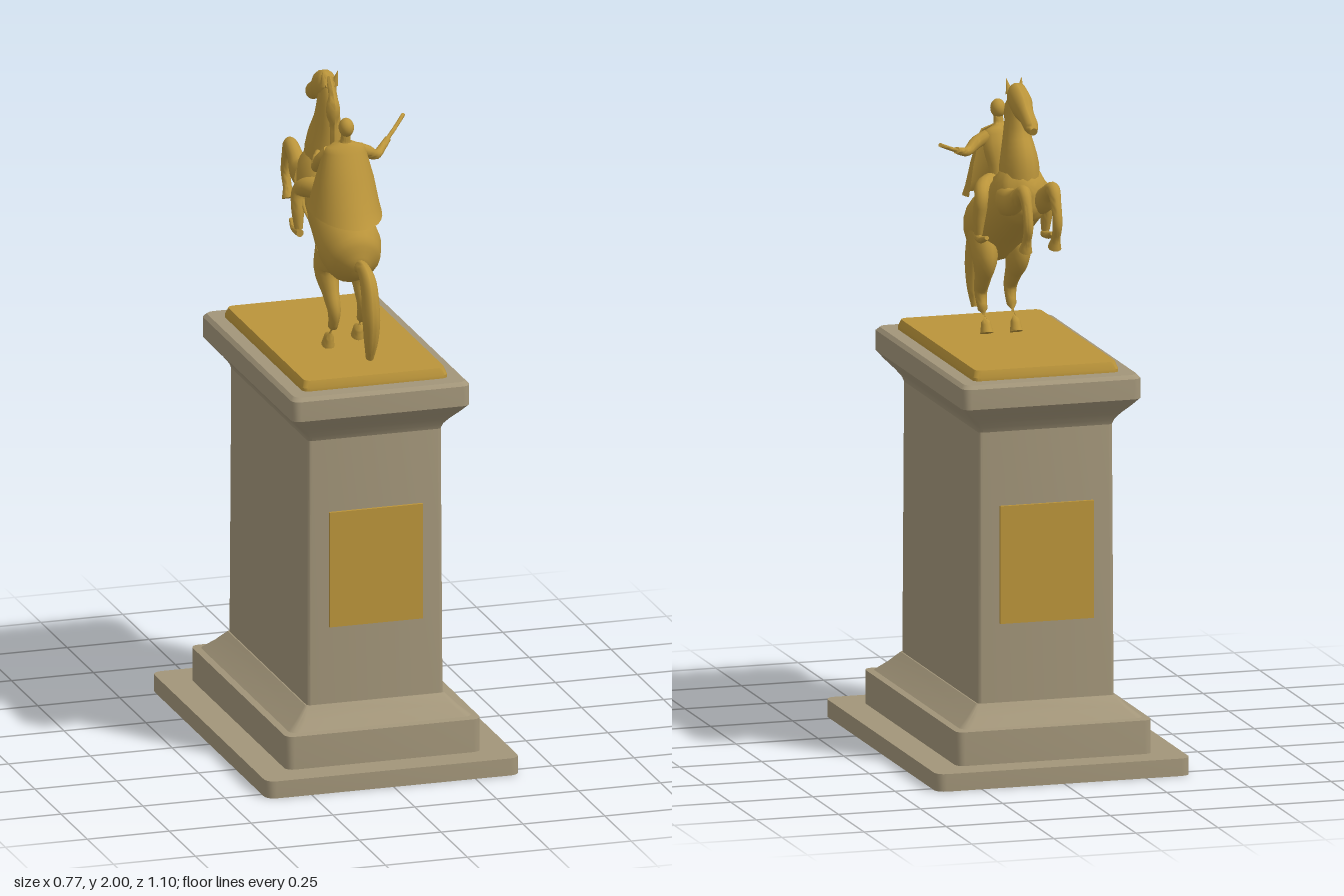
import * as THREE from 'three';
import { toCreasedNormals } from 'three/addons/utils/BufferGeometryUtils.js';

const V = (x, y, z) => new THREE.Vector3(x, y, z);

// Skin a list of closed rings (counter-clockwise about the direction of travel) and cap both ends
function loft(rings, crease) {
  const out = [], n = rings[0].length;
  const tri = (...p) => p.forEach(q => out.push(q.x, q.y, q.z));
  const centre = r => r.reduce((s, p) => s.add(p), V(0, 0, 0)).divideScalar(n);
  const first = rings[0], last = rings[rings.length - 1];
  const c0 = centre(first), c1 = centre(last);
  for (let j = 0; j < n; j++) {
    const k = (j + 1) % n;
    for (let i = 0; i < rings.length - 1; i++) {
      const a = rings[i], b = rings[i + 1];
      tri(a[j], a[k], b[j]);
      tri(a[k], b[k], b[j]);
    }
    tri(c0, first[k], first[j]);
    tri(c1, last[j], last[k]);
  }
  const g = new THREE.BufferGeometry();
  g.setAttribute('position', new THREE.Float32BufferAttribute(out, 3));
  return toCreasedNormals(g, crease);
}

// Stack of rounded rectangles: each level is [halfX, halfZ, y, cornerRadius]
function stack(levels) {
  return loft(levels.map(([hx, hz, y, r]) => {
    const ring = [];
    for (let q = 0; q < 4; q++) {
      for (let s = 0; s <= 4; s++) {
        const t = (q + s / 4) * Math.PI / 2;
        const sx = q < 2 ? 1 : -1, sz = q === 0 || q === 3 ? 1 : -1;
        ring.push(V(sx * (hx - r) + r * Math.sin(t), y, sz * (hz - r) + r * Math.cos(t)));
      }
    }
    return ring;
  }), 0.45);
}

// Elliptical limb along a smooth path: each point is [x, y, z, radiusU, radiusV]
function limb(pts, ref = V(1, 0, 0), sides = 14, perSpan = 4) {
  const curve = new THREE.CatmullRomCurve3(pts.map(p => V(p[0], p[1], p[2])));
  const radii = new THREE.CatmullRomCurve3(pts.map(p => V(p[3], p[4] ?? p[3], 0)));
  const steps = (pts.length - 1) * perSpan, rings = [];
  for (let i = 0; i <= steps; i++) {
    const c = curve.getPoint(i / steps), r = radii.getPoint(i / steps), t = curve.getTangent(i / steps);
    const u = ref.clone().addScaledVector(t, -t.dot(ref)).normalize();
    const v = t.clone().cross(u);
    rings.push(Array.from({ length: sides }, (_, j) => {
      const a = j / sides * Math.PI * 2;
      return c.clone().addScaledVector(u, r.x * Math.cos(a)).addScaledVector(v, r.y * Math.sin(a));
    }));
  }
  return loft(rings, 0.9);
}

export function createModel() {
  const stone = new THREE.MeshStandardMaterial({ color: 0xa29579 });
  stone.name = 'stone';
  const bronze = new THREE.MeshStandardMaterial({ color: 0xba943a });
  bronze.name = 'gilded bronze';
  const cloth = new THREE.MeshStandardMaterial({ color: 0xba943a, side: THREE.DoubleSide });
  cloth.name = 'gilded cloth';

  const model = new THREE.Group();
  const group = name => { const g = new THREE.Group(); g.name = name; model.add(g); return g; };
  const add = (parent, name, geo, mat = bronze) => {
    const m = new THREE.Mesh(geo, mat);
    m.name = name;
    parent.add(m);
    return m;
  };

  // Pedestal
  const pedestal = group('pedestal');
  add(pedestal, 'baseSlab', stack([[0.387, 0.55, 0, 0.03], [0.387, 0.55, 0.052, 0.03]]), stone);
  add(pedestal, 'plinth', stack([
    [0.298, 0.46, 0.052, 0.025], [0.298, 0.46, 0.152, 0.025], [0.278, 0.438, 0.155, 0.025],
    [0.245, 0.41, 0.182, 0.02], [0.212, 0.378, 0.215, 0.012]]), stone);
  add(pedestal, 'shaft', stack([[0.208, 0.375, 0.215, 0.012], [0.204, 0.371, 1.03, 0.012]]), stone);
  add(pedestal, 'cornice', stack([
    [0.204, 0.371, 1.02, 0.012], [0.21, 0.378, 1.035, 0.015], [0.226, 0.394, 1.055, 0.018],
    [0.25, 0.418, 1.08, 0.02], [0.272, 0.441, 1.105, 0.025], [0.272, 0.441, 1.165, 0.025],
    [0.262, 0.431, 1.176, 0.025]]), stone);
  add(pedestal, 'topPlate', stack([
    [0.222, 0.382, 1.176, 0.02], [0.222, 0.382, 1.185, 0.02], [0.214, 0.375, 1.206, 0.02]]));
  for (const s of [1, -1]) {
    add(pedestal, s > 0 ? 'frontPanel' : 'backPanel', new THREE.BoxGeometry(0.284, 0.35, 0.009))
      .position.set(0, 0.625, s * 0.3795);
  }

  // Rearing horse, facing -z
  const horse = group('horse');
  add(horse, 'body', limb([
    [0, 1.475, 0.218, 0.025, 0.03], [0, 1.493, 0.185, 0.075, 0.085], [0, 1.522, 0.13, 0.092, 0.105],
    [0, 1.575, 0.03, 0.086, 0.092], [0, 1.625, -0.055, 0.084, 0.092], [0, 1.67, -0.125, 0.08, 0.098],
    [0, 1.695, -0.17, 0.062, 0.078], [0, 1.71, -0.198, 0.02, 0.025]], undefined, 20));
  add(horse, 'neck', limb([
    [0, 1.67, -0.115, 0.06, 0.08], [0, 1.755, -0.108, 0.055, 0.082], [0, 1.84, -0.086, 0.038, 0.06],
    [0, 1.91, -0.08, 0.028, 0.047], [0, 1.965, -0.085, 0.02, 0.03]], undefined, 16));
  add(horse, 'mane', limb([
    [0, 1.76, -0.03, 0.008, 0.012], [0, 1.85, -0.026, 0.011, 0.014],
    [0, 1.93, -0.036, 0.011, 0.014], [0, 1.978, -0.07, 0.008, 0.01]], undefined, 8));
  add(horse, 'head', limb([
    [0, 1.965, -0.058, 0.016, 0.02], [0, 1.953, -0.085, 0.03, 0.042], [0, 1.935, -0.13, 0.031, 0.045],
    [0, 1.91, -0.18, 0.022, 0.03], [0, 1.889, -0.225, 0.021, 0.025], [0, 1.877, -0.25, 0.012, 0.013]]));
  add(horse, 'tail', limb([
    [0, 1.485, 0.205, 0.016, 0.018], [0, 1.492, 0.255, 0.018, 0.022], [0, 1.462, 0.308, 0.023, 0.035],
    [0, 1.38, 0.334, 0.025, 0.036], [0, 1.3, 0.334, 0.021, 0.026], [0, 1.238, 0.32, 0.011, 0.014]]));
  const girth = add(horse, 'girthStrap', new THREE.TorusGeometry(0.09, 0.005, 6, 28));
  girth.position.set(0, 1.61, -0.03);
  girth.rotation.x = -0.53;

  for (const s of [1, -1]) {
    const side = s > 0 ? 'left' : 'right';
    const ear = add(horse, side + 'Ear', new THREE.ConeGeometry(0.012, 0.048, 8));
    ear.position.set(s * 0.02, 1.978, -0.062);
    ear.rotation.set(0.25, 0, -s * 0.15);

    const f = s > 0 ? 0 : 0.018, x = s * 0.047;
    add(horse, side + 'Foreleg', limb([
      [x, 1.655, -0.14, 0.036, 0.05], [x, 1.662, -0.2, 0.031, 0.038], [x, 1.69, -0.26 + f, 0.023, 0.026],
      [x, 1.71, -0.31 + f, 0.02, 0.022], [x, 1.672, -0.338 + f, 0.015, 0.017],
      [x, 1.615, -0.351 + f, 0.014, 0.016], [x, 1.575, -0.336 + f, 0.013, 0.014],
      [x, 1.542, -0.322 + f, 0.02, 0.022]]));

    const b = s > 0 ? 0 : 0.045, drop = s > 0 ? 0.008 : 0;
    add(horse, side + 'HindLeg', limb([
      [s * 0.05, 1.51, 0.1, 0.04, 0.07], [s * 0.054, 1.445, 0.055 + b * 0.6, 0.036, 0.058],
      [s * 0.054, 1.385, 0.072 + b, 0.024, 0.034], [s * 0.052, 1.335, 0.1 + b, 0.019, 0.023],
      [s * 0.051, 1.283, 0.083 + b, 0.014, 0.016], [s * 0.05, 1.242 + drop, 0.058 + b * 0.7, 0.014, 0.016],
      [s * 0.05, 1.212 + drop, 0.047 + b * 0.7, 0.019, 0.024]]));
  }

  // Rider
  const rider = group('rider');
  add(rider, 'saddle', limb([
    [0, 1.635, 0.1, 0.05, 0.025], [0, 1.655, 0.04, 0.065, 0.025], [0, 1.7, -0.03, 0.045, 0.022]]));
  add(rider, 'torso', limb([
    [0, 1.64, 0.025, 0.055, 0.045], [0, 1.7, 0.04, 0.043, 0.036], [0, 1.765, 0.066, 0.054, 0.04],
    [0, 1.81, 0.082, 0.05, 0.032], [0, 1.832, 0.09, 0.016, 0.016], [0, 1.86, 0.096, 0.013, 0.013]]));
  const head = add(rider, 'riderHead', new THREE.SphereGeometry(0.025, 16, 12));
  head.position.set(0, 1.876, 0.098);
  head.scale.set(0.88, 1.12, 1.1);
  for (const s of [1, -1]) {
    const side = s > 0 ? 'left' : 'right';
    add(rider, side + 'Leg', limb([
      [s * 0.045, 1.665, 0.025, 0.034, 0.036], [s * 0.08, 1.665, -0.02, 0.028, 0.03],
      [s * 0.096, 1.645, -0.052, 0.022, 0.024], [s * 0.102, 1.59, -0.045, 0.019, 0.022],
      [s * 0.102, 1.535, -0.038, 0.012, 0.014]]));
    add(rider, side + 'Boot', limb([
      [s * 0.1, 1.523, -0.03, 0.011, 0.012], [s * 0.103, 1.526, -0.07, 0.012, 0.011],
      [s * 0.1, 1.54, -0.115, 0.007, 0.006]]));
  }
  const up = V(0, 1, 0);
  add(rider, 'raisedArm', limb([
    [0.04, 1.8, 0.075, 0.02], [0.075, 1.785, 0.068, 0.019], [0.108, 1.766, 0.045, 0.014],
    [0.138, 1.774, 0.008, 0.012], [0.165, 1.786, -0.025, 0.01]], up, 10));
  add(rider, 'baton', limb([[0.148, 1.778, -0.008, 0.006], [0.195, 1.801, -0.06, 0.006],
    [0.242, 1.826, -0.115, 0.006]], up, 8));
  add(rider, 'reinArm', limb([
    [-0.045, 1.8, 0.075, 0.019], [-0.065, 1.768, 0.05, 0.018], [-0.066, 1.735, 0.015, 0.014],
    [-0.052, 1.745, -0.03, 0.011], [-0.035, 1.755, -0.055, 0.012]], V(1, 0, 0), 10));

  // Cape: half rings widening from the collar, each [y, centreZ, halfWidth, depth, backDrop]
  const rows = [[1.83, 0.092, 0.018, 0.016, 0], [1.818, 0.085, 0.055, 0.034, 0], [1.8, 0.082, 0.064, 0.046, 0],
    [1.72, 0.078, 0.086, 0.09, 0], [1.65, 0.072, 0.1, 0.135, 0.01], [1.625, 0.07, 0.106, 0.168, 0.022]];
  const n = 16, pos = [], idx = [];
  rows.forEach(([y, cz, w, d, drop], i) => {
    for (let j = 0; j <= n; j++) {
      const t = -0.15 + j / n * (Math.PI + 0.3), s = Math.sin(t);
      pos.push(w * Math.cos(t), y - drop * s, cz + d * s);
      if (i && j) {
        const a = (i - 1) * (n + 1) + j - 1, b = a + n + 1;
        idx.push(a, a + 1, b, a + 1, b + 1, b);
      }
    }
  });
  const cape = new THREE.BufferGeometry();
  cape.setAttribute('position', new THREE.Float32BufferAttribute(pos, 3));
  // Rows run downward, so reverse the winding to face outward
  cape.setIndex(idx.reverse());
  cape.computeVertexNormals();
  add(rider, 'cape', cape, cloth);

  return model;
}
